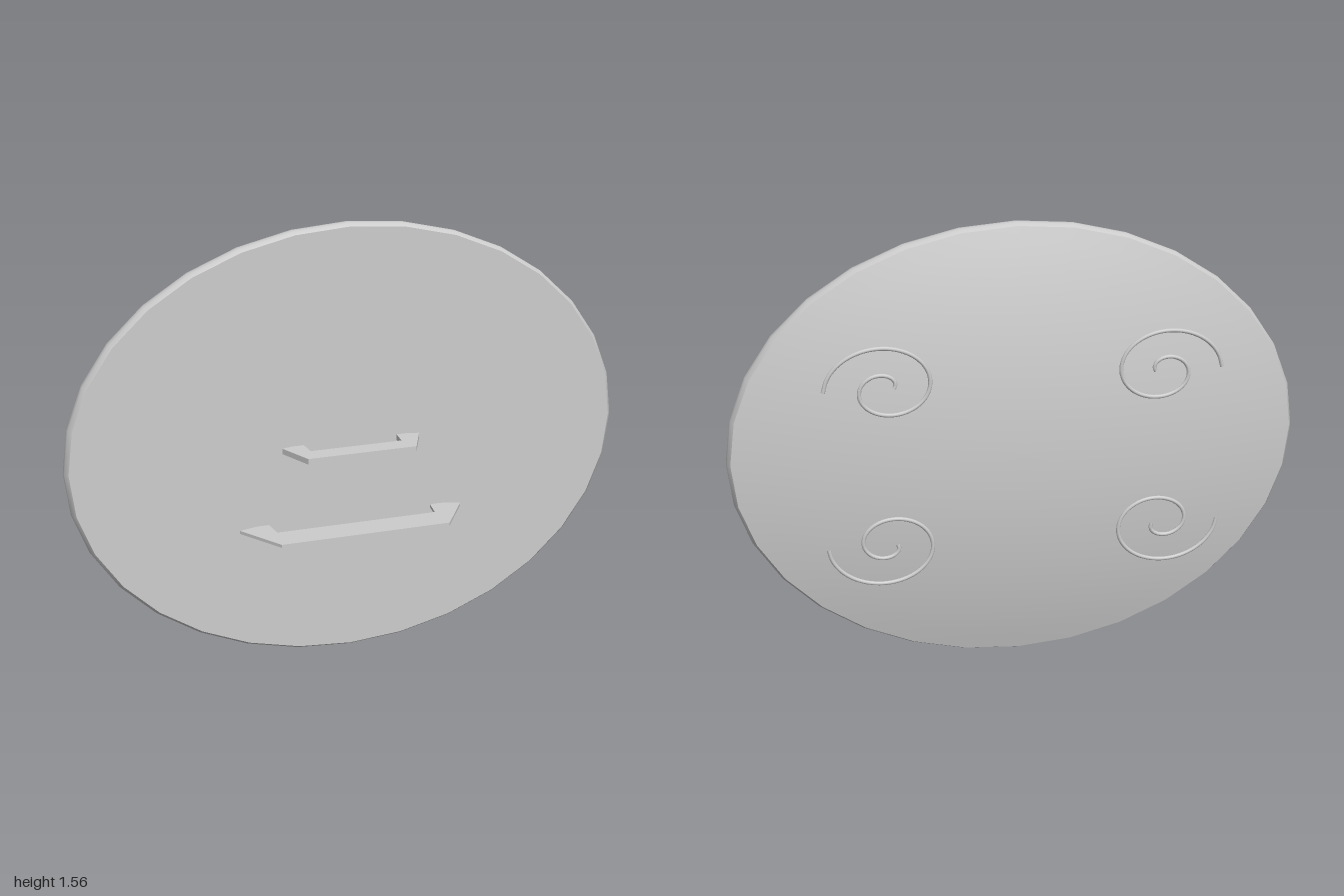
import * as THREE from 'three';

const CY = 0.782;      // height of the shield centre
const ASPECT = 0.781;  // oval height / width
const SIDES = 32;

export function createModel() {
  const model = new THREE.Group();
  model.name = 'ovalShield';
  const steel = new THREE.MeshStandardMaterial({ color: 0xcccccc });
  steel.name = 'steelGrey';

  const add = (name, geometry, y = CY) => {
    const mesh = new THREE.Mesh(geometry, steel);
    mesh.name = name;
    mesh.position.y = y;
    model.add(mesh);
  };

  // Oval body: each profile is [radius, z], listed from back to front
  const oval = (profile) => {
    const points = profile.map(([r, z]) => new THREE.Vector2(r, z));
    return new THREE.LatheGeometry(points, SIDES).rotateX(Math.PI / 2).scale(1, ASPECT, 1);
  };
  const dome = [];
  for (let i = 0; i <= 12; i++) {
    const r = i / 12;
    dome.push([r * 0.987, -0.165 + 0.113 * r * r]);
  }
  add('domedBack', oval(dome));
  add('rim', oval([[0.987, -0.052], [0.997, -0.037], [1, -0.022], [0.998, -0.006], [0.986, 0.007]]));
  add('flatFront', oval([[0.986, 0.007], [0, 0.007]]));

  // Grips: flat bars with two legs; half outline is [x, z], mirrored
  const grip = (half, thickness) => {
    const mirrored = half.map(([x, z]) => [-x, z]).reverse();
    const shape = new THREE.Shape([...half, ...mirrored].map(([x, z]) => new THREE.Vector2(x, z)));
    return new THREE.ExtrudeGeometry(shape, { depth: thickness, bevelEnabled: false })
      .translate(0, 0, -thickness / 2)
      .rotateX(Math.PI / 2);
  };
  add('upperGrip', grip([[0.195, 0.14], [0.25, 0.017], [0.215, 0.008], [0.17, 0], [0.165, 0.07]], 0.02), 0.785);
  add('lowerGrip', grip([[0.305, 0.186], [0.408, 0.026], [0.355, 0.01], [0.3, 0], [0.29, 0.08]], 0.011), 0.508);

  // Spiral ornaments behind the dome, mirrored into four quarters
  for (const sx of [1, -1]) {
    for (const sy of [1, -1]) {
      const path = [];
      for (let i = 0; i <= 36; i++) {
        const angle = (i / 36) * Math.PI * 3;
        const r = 0.2075 - 0.18 * (i / 36);
        path.push(new THREE.Vector3(
          sx * (0.475 + r * Math.cos(angle)),
          sy * (0.278 + ASPECT * r * Math.sin(angle)),
          -0.182,
        ));
      }
      const tube = new THREE.TubeGeometry(new THREE.CatmullRomCurve3(path), 72, 0.007, 8);
      add((sy > 0 ? 'upper' : 'lower') + (sx > 0 ? 'Left' : 'Right') + 'Spiral', tube);
    }
  }
  return model;
}
